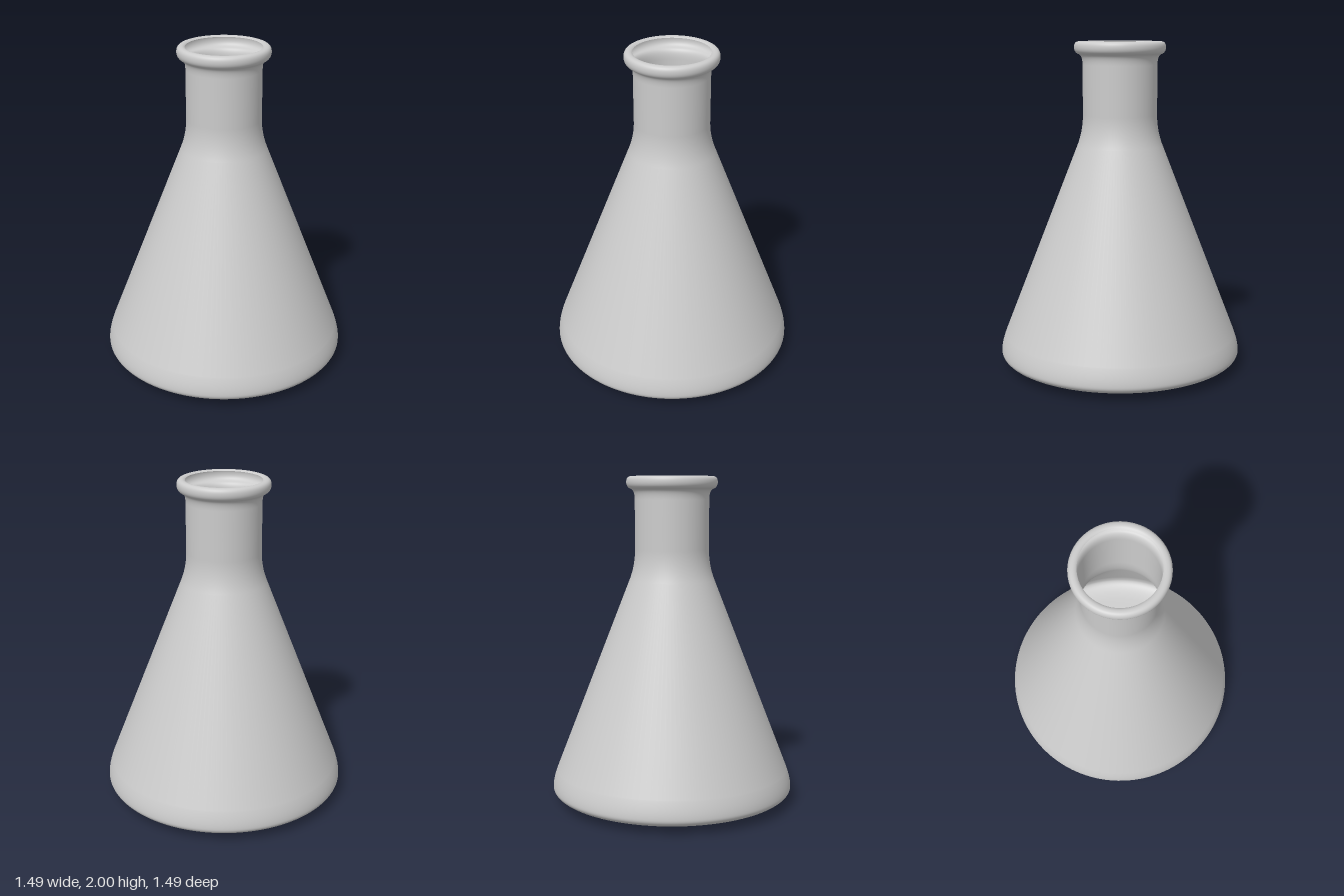
import * as THREE from 'three';

export function createModel() {
  const group = new THREE.Group();
  group.name = 'conicalFlask';
  const glass = new THREE.MeshStandardMaterial({ color: 0xcccccc, side: THREE.DoubleSide });

  const addLathe = (name, path, divisions) => {
    const mesh = new THREE.Mesh(new THREE.LatheGeometry(path.getPoints(divisions), 128), glass);
    mesh.name = name;
    group.add(mesh);
  };

  // Thin-walled body: gently bowed base, rounded heel, cone, shoulder and neck
  const body = new THREE.Path();
  body.moveTo(0, 0);
  body.quadraticCurveTo(0.36, 0.008, 0.62, 0.028);
  body.bezierCurveTo(0.71, 0.038, 0.745, 0.06, 0.745, 0.09);
  body.quadraticCurveTo(0.745, 0.13, 0.719, 0.2);
  body.lineTo(0.262, 1.37);
  body.quadraticCurveTo(0.226, 1.46, 0.226, 1.56);
  body.lineTo(0.226, 1.86);
  body.quadraticCurveTo(0.226, 1.915, 0.25, 1.924);
  addLathe('flaskBody', body, 14);

  // Rolled lip around the open mouth
  const lip = new THREE.Path();
  lip.moveTo(0.25, 1.924);
  lip.bezierCurveTo(0.268, 1.93, 0.277, 1.945, 0.277, 1.965);
  lip.bezierCurveTo(0.277, 1.988, 0.266, 2, 0.247, 2);
  lip.quadraticCurveTo(0.235, 2, 0.227, 1.993);
  addLathe('rolledLip', lip, 10);

  return group;
}
